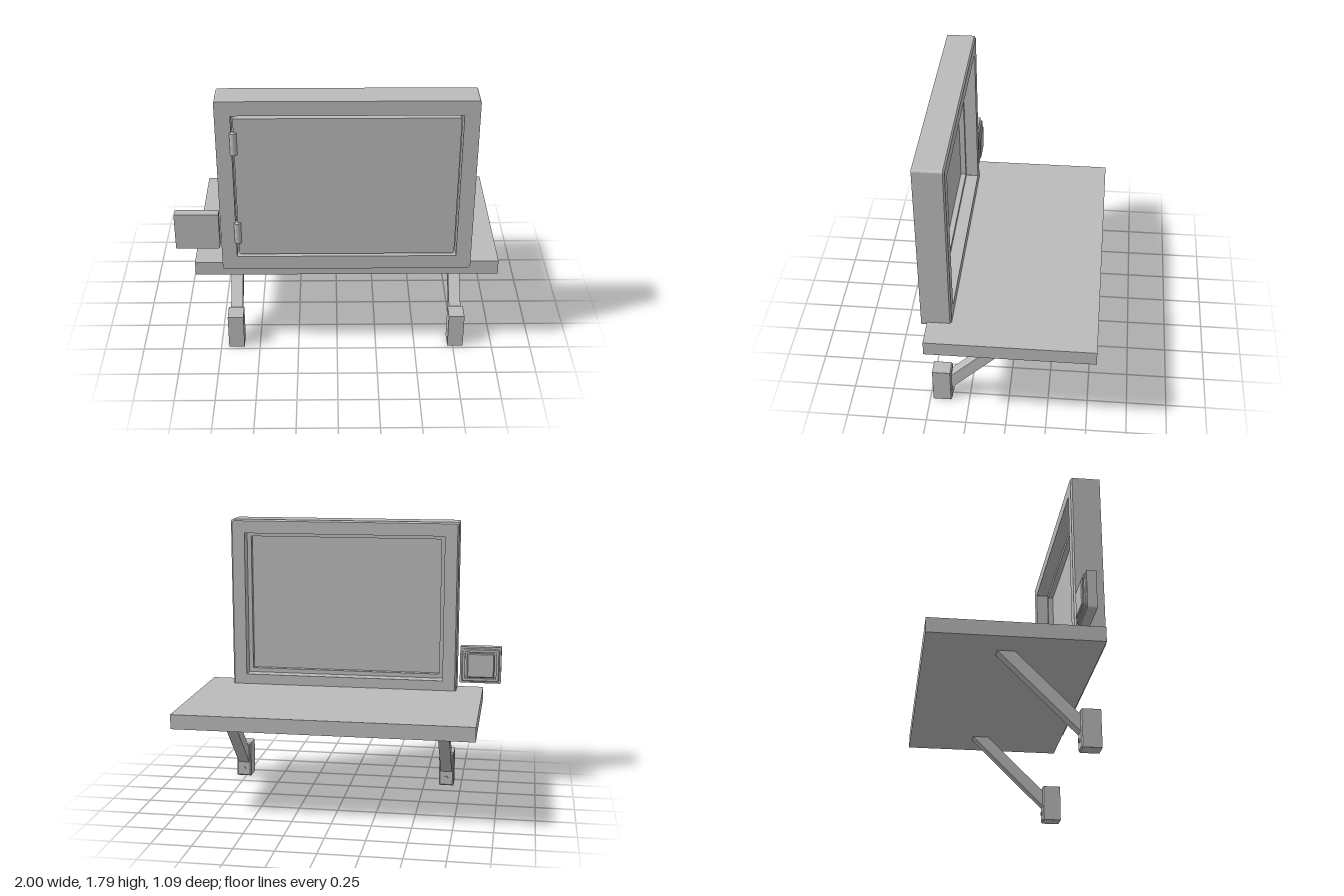
import * as THREE from 'three';
import { mergeGeometries } from 'three/addons/utils/BufferGeometryUtils.js';

const grey = new THREE.MeshStandardMaterial({ color: 0xbbbbbb });
grey.name = 'grey';

// Rounded rectangle outline centred on the origin
function rounded(Type, w, h, r) {
  const s = new Type(), x = w / 2, y = h / 2;
  s.moveTo(-x + r, -y);
  s.lineTo(x - r, -y);
  s.absarc(x - r, -y + r, r, -Math.PI / 2, 0, false);
  s.lineTo(x, y - r);
  s.absarc(x - r, y - r, r, 0, Math.PI / 2, false);
  s.lineTo(-x + r, y);
  s.absarc(-x + r, y - r, r, Math.PI / 2, Math.PI, false);
  s.lineTo(-x, -y + r);
  s.absarc(-x + r, -y + r, r, Math.PI, Math.PI * 1.5, false);
  return s;
}

// Slab spanning the given x, y and z ranges, with an optional opening
// (inset from the outline) and a chamfer around its rear edge
function slab([x0, x1], [y0, y1], [z0, z1], { r = 0.005, inset = 0, bevel = 0 } = {}) {
  const w = x1 - x0, h = y1 - y0;
  const shape = rounded(THREE.Shape, w, h, r);
  if (inset) shape.holes.push(rounded(THREE.Path, w - 2 * inset, h - 2 * inset, 0.003));
  const extrude = (a, b) => new THREE.ExtrudeGeometry(shape, { depth: b - a, bevelEnabled: false, curveSegments: 4 }).translate(0, 0, a);
  const parts = [extrude(z0 + bevel, z1)];
  if (bevel) {
    const lip = extrude(z0, z0 + bevel), p = lip.attributes.position;
    for (let i = 0; i < p.count; i++) {
      const x = p.getX(i), y = p.getY(i);
      const outer = !inset || Math.abs(x) > w / 2 - inset / 2 || Math.abs(y) > h / 2 - inset / 2;
      if (outer && p.getZ(i) < z0 + bevel / 2) p.setXY(i, x * (1 - 2 * bevel / w), y * (1 - 2 * bevel / h));
    }
    lip.computeVertexNormals();
    parts.push(lip);
  }
  return mergeGeometries(parts).translate((x0 + x1) / 2, (y0 + y1) / 2, 0);
}

export function createModel() {
  const model = new THREE.Group();
  model.name = 'hatchWithShelf';
  const add = (name, geometry, parent = model) => {
    const mesh = new THREE.Mesh(geometry, grey);
    mesh.name = name;
    parent.add(mesh);
    return mesh;
  };

  // Shelf board
  add('shelf', new THREE.BoxGeometry(1.88, 0.093, 1.035)).position.set(0.06, 0.624, -0.028);

  // Window frame, with a narrower stop behind the door
  add('frame', slab([-0.705, 0.82], [0.645, 1.795], [0.34, 0.525], { r: 0.015, inset: 0.092, bevel: 0.01 }));
  add('doorStop', slab([-0.63, 0.745], [0.72, 1.72], [0.42, 0.455], { inset: 0.045 }));

  // Door leaf with a slim gap around it
  add('door', slab([-0.6, 0.715], [0.755, 1.685], [0.455, 0.523], { r: 0.015 }));

  // Hinge barrels
  for (const y of [0.915, 1.525]) {
    add('hinge', new THREE.CylinderGeometry(0.021, 0.021, 0.14, 24)).position.set(-0.602, y, 0.525);
  }

  // Bracket legs: foot block, diagonal strut and screw
  const side = new THREE.Shape([[-0.36, 0.1], [0.125, 0.585], [0.02, 0.585], [-0.36, 0.205]].map(([x, y]) => new THREE.Vector2(x, y)));
  for (const x of [-0.65, 0.765]) {
    const leg = new THREE.Group();
    leg.name = 'bracketLeg';
    leg.position.x = x;
    model.add(leg);
    add('footBlock', slab([-0.05, 0.05], [0, 0.235], [0.36, 0.48], { r: 0.002, bevel: 0.008 }), leg);
    const strut = new THREE.ExtrudeGeometry(side, { depth: 0.075, bevelEnabled: false });
    add('strut', strut.rotateY(Math.PI / 2).translate(-0.0375, 0, 0), leg);
    const screw = new THREE.CylinderGeometry(0.012, 0.012, 0.012, 16).rotateX(Math.PI / 2);
    add('screw', screw.translate(0, 0.055, 0.357), leg);
  }

  // Small side box with a rim, raised panel and edge bar on its back
  const box = new THREE.Group();
  box.name = 'sideBox';
  model.add(box);
  add('boxBody', slab([-1, -0.727], [0.727, 0.972], [0.36, 0.418], { r: 0.008 }), box);
  add('boxRim', slab([-0.988, -0.739], [0.739, 0.96], [0.345, 0.36], { r: 0.012, inset: 0.022, bevel: 0.006 }), box);
  add('boxPanel', slab([-0.955, -0.775], [0.768, 0.931], [0.335, 0.36], { r: 0.008, bevel: 0.006 }), box);
  return model;
}
